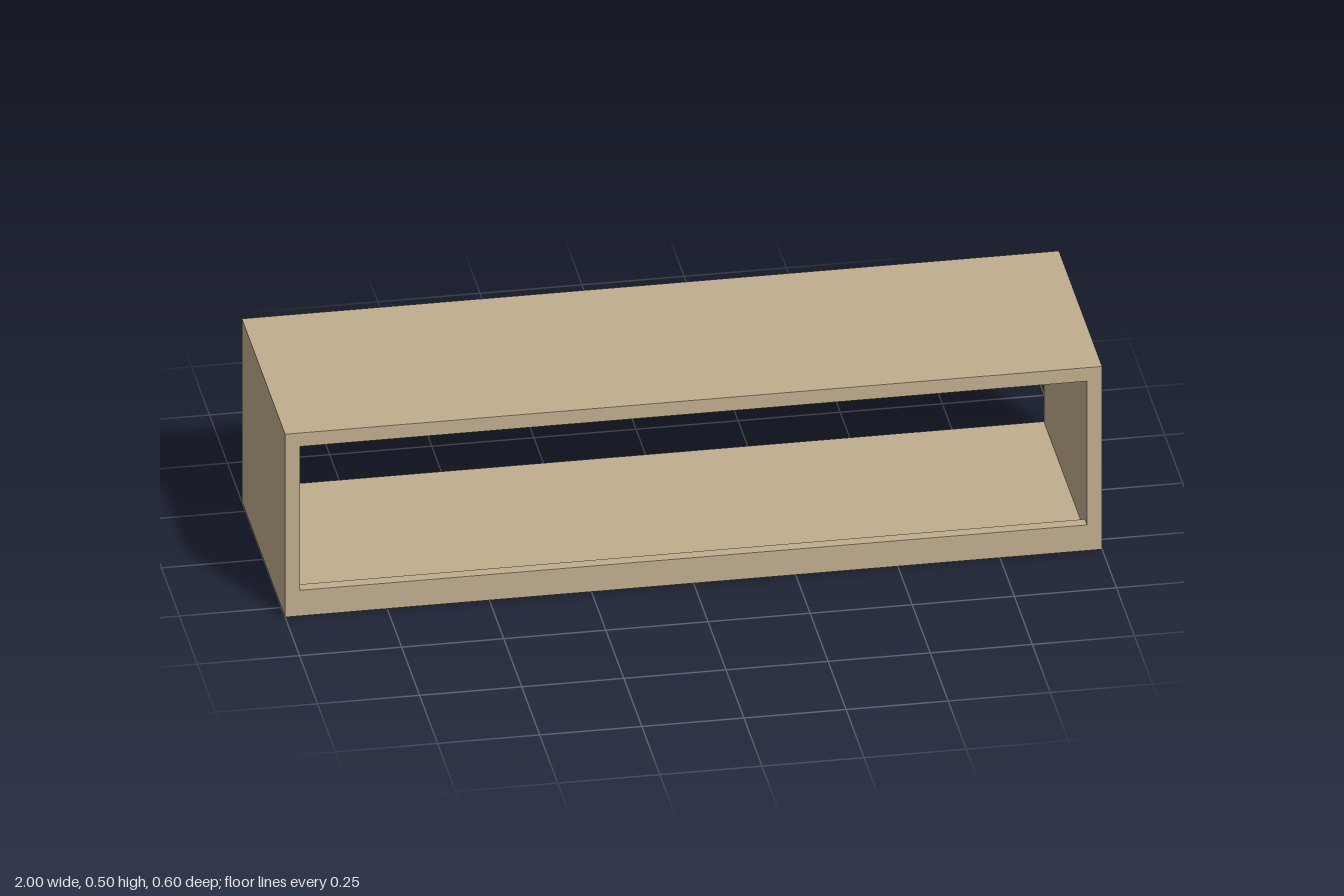
import * as THREE from 'three';

export function createModel() {
  const model = new THREE.Group();
  model.name = 'openCabinet';
  const wood = new THREE.MeshStandardMaterial({ color: 0xc1ad8e });
  wood.name = 'lightWood';

  const W = 2, H = 0.5, D = 0.6, T = 0.037; // overall size and board thickness
  const innerW = W - 2 * T;

  // Closed rectangle, used for the outer outline and the opening
  const rect = (target, x, y0, y1) => {
    target.moveTo(-x, y0);
    target.lineTo(x, y0);
    target.lineTo(x, y1);
    target.lineTo(-x, y1);
    target.closePath();
    return target;
  };

  // Outer case: one board loop, open at front and back
  const outline = rect(new THREE.Shape(), W / 2, 0, H);
  outline.holes.push(rect(new THREE.Path(), W / 2 - T, T, H - T));
  const caseGeometry = new THREE.ExtrudeGeometry(outline, { depth: D, bevelEnabled: false });
  caseGeometry.translate(0, 0, -D / 2);
  const shell = new THREE.Mesh(caseGeometry, wood);
  shell.name = 'case';
  model.add(shell);

  // Slats spanning between the two side boards
  const addSlat = (name, y0, y1, z0, z1) => {
    const slat = new THREE.Mesh(new THREE.BoxGeometry(innerW, y1 - y0, z1 - z0), wood);
    slat.name = name;
    slat.position.set(0, (y0 + y1) / 2, (z0 + z1) / 2);
    model.add(slat);
  };
  addSlat('rearRail', 0.245, 0.305, -0.18, -0.143);
  addSlat('frontLip', T, 0.07, D / 2 - 0.03, D / 2);

  return model;
}
